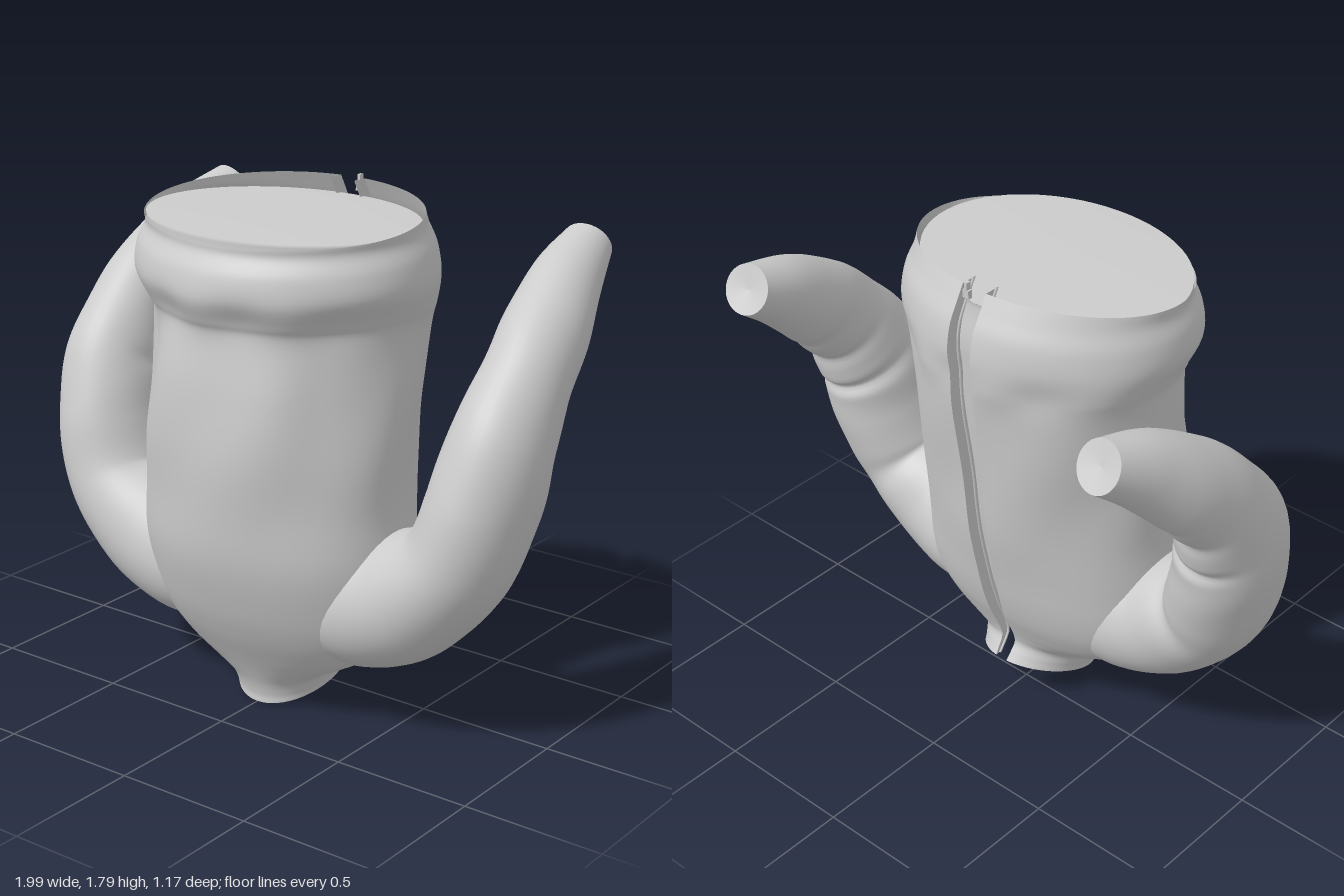
import * as THREE from 'three';

const material = new THREE.MeshStandardMaterial({ color: 0xcccccc, side: THREE.DoubleSide });
const V = (x, y, z) => new THREE.Vector3(x, y, z);
const bump = (d, w) => Math.exp(-(d * d) / (w * w));
const lerp = THREE.MathUtils.lerp;

// Smooth skin through a grid of points: point(u, v), u along, v around
function loft(name, rows, cols, closed, point) {
  const pos = [], index = [], n = closed ? cols : cols + 1;
  for (let i = 0; i <= rows; i++)
    for (let j = 0; j < n; j++) pos.push(...point(i / rows, j / cols).toArray());
  for (let i = 0; i < rows; i++)
    for (let j = 0; j < cols; j++) {
      const k = (j + 1) % n, a = i * n + j, b = i * n + k;
      index.push(a, a + n, b, b, a + n, b + n);
    }
  const geo = new THREE.BufferGeometry();
  geo.setAttribute('position', new THREE.Float32BufferAttribute(pos, 3));
  geo.setIndex(index);
  geo.computeVertexNormals();
  const mesh = new THREE.Mesh(geo, material);
  mesh.name = name;
  return mesh;
}

// Body sections, collar to hem: y at front, y at back, half width, z at front, z at back
const sections = [
  [0.00, 0.17, 0.19, 0.30, -0.14], [0.03, 0.20, 0.20, 0.30, -0.12],
  [0.08, 0.235, 0.23, 0.315, -0.10], [0.14, 0.27, 0.34, 0.345, -0.105],
  [0.20, 0.32, 0.43, 0.38, -0.125], [0.30, 0.40, 0.49, 0.44, -0.16],
  [0.42, 0.50, 0.51, 0.495, -0.19], [0.60, 0.62, 0.51, 0.55, -0.215],
  [0.80, 0.80, 0.49, 0.57, -0.25], [1.00, 1.00, 0.49, 0.58, -0.275],
  [1.20, 1.20, 0.495, 0.565, -0.30], [1.38, 1.40, 0.50, 0.535, -0.32],
  [1.44, 1.47, 0.515, 0.55, -0.325], [1.52, 1.56, 0.54, 0.585, -0.33],
  [1.60, 1.65, 0.53, 0.575, -0.315], [1.66, 1.72, 0.505, 0.54, -0.28],
  [1.69, 1.775, 0.505, 0.535, -0.25],
];
const curveOf = pts => new THREE.CatmullRomCurve3(pts, false, 'catmullrom', 0.5);
const bodyA = curveOf(sections.map(s => V(s[0], s[1], s[2])));
const bodyB = curveOf(sections.map(s => V(s[3], s[4], 0)));

// Point on the body at height t and angle a (0 = middle of the back)
function bodyPoint(t, a, inset = 0, backInset = inset) {
  const p = bodyA.getPoint(t), q = bodyB.getPoint(t);
  const zF = q.x - inset, zB = q.y + backInset, w = p.z - inset;
  const k = (1 - Math.cos(a)) / 2;
  const x = w * Math.sin(a), y = lerp(p.y, p.x, k), z = lerp(zB, zF, k);
  // folds: hollows beside the front panel, puckers under the hem band
  let dent = 0;
  if (!inset) {
    const front = Math.max(0, -Math.cos(a));
    dent = 0.035 * bump(Math.abs(x) - 0.38, 0.1) * bump(y - 1.25, 0.22) * front
      + 0.008 * bump(y - 1.46, 0.07) * Math.sin(a * 7 + 1 + 2 * Math.sin(a * 2))
      + 0.006 * bump(y - 1.1, 0.4) * Math.sin(a * 6 + y * 7);
  }
  return V(x - dent * Math.sin(a), y, z + dent * Math.cos(a));
}
const gapAngle = t => Math.asin(lerp(0.025, 0.05, Math.min(1, t * 1.5)) / bodyA.getPoint(t).z);

// Sleeve sections, shoulder to cuff: x, y, z, sideways radius, front-to-back radius
const sleeve = [
  [0.24, 0.40, 0.15, 0.19, 0.22], [0.38, 0.44, 0.165, 0.23, 0.235],
  [0.55, 0.505, 0.17, 0.222, 0.225], [0.72, 0.645, 0.155, 0.185, 0.222],
  [0.795, 0.85, 0.12, 0.18, 0.225], [0.825, 1.05, 0.065, 0.17, 0.21],
  [0.835, 1.23, -0.045, 0.145, 0.175], [0.82, 1.37, -0.19, 0.14, 0.16],
  [0.79, 1.50, -0.36, 0.118, 0.13], [0.765, 1.597, -0.54, 0.087, 0.087],
];
const sleevePath = curveOf(sleeve.map(s => V(s[0], s[1], s[2])));
const sleeveSize = curveOf(sleeve.map(s => V(s[3], s[4], 0)));

function sleevePoint(t, v, scale = 1, shift = 0) {
  const c = sleevePath.getPoint(t), r = sleeveSize.getPoint(t), T = sleevePath.getTangent(t);
  const B = V(0, 0, 1).addScaledVector(T, -T.z).normalize();
  const A = B.clone().cross(T);
  const th = -v * Math.PI * 2;
  // creases gather on the inner back of the elbow and in the armpit
  const inner = Math.max(0, Math.cos(th + 1.0));
  const crease = 1 - inner * (0.13 * bump(t - 0.56, 0.018) + 0.09 * bump(t - 0.66, 0.02)
    + 0.06 * bump(t - 0.76, 0.02) + 0.08 * bump(t - 0.32, 0.03))
    + 0.012 * Math.sin(t * 40 + th * 2) * bump(t - 0.6, 0.25);
  return c.addScaledVector(A, Math.cos(th) * r.x * crease * scale)
    .addScaledVector(B, Math.sin(th) * r.y * crease * scale).addScaledVector(T, shift);
}

export function createModel() {
  const model = new THREE.Group();
  model.name = 'jacket';

  // Outer shell, split down the back by the zip opening
  model.add(loft('bodyShell', 96, 96, false, (u, v) => {
    const g = gapAngle(u);
    return bodyPoint(u, lerp(g, Math.PI * 2 - g, v));
  }));

  // Zip edges, folded inward along both sides of the opening
  for (const side of [1, -1]) {
    const edge = (u, v) => {
      const p = bodyPoint(u, side * gapAngle(u));
      p.z += v * lerp(0.025, 0.06, Math.min(1, u * 3));
      return p;
    };
    model.add(loft(side > 0 ? 'leftZipEdge' : 'rightZipEdge', 60, 2, false, edge));
    const path = new THREE.CatmullRomCurve3(Array.from({ length: 24 }, (_, i) => edge(i / 23, 0.8)));
    const teeth = new THREE.Mesh(new THREE.TubeGeometry(path, 60, 0.006, 6), material);
    teeth.name = side > 0 ? 'leftZipTeeth' : 'rightZipTeeth';
    model.add(teeth);
  }

  // Zip pull at the hem
  const pull = new THREE.Group();
  pull.name = 'zipPull';
  for (const [w, h, y] of [[0.025, 0.03, 0], [0.012, 0.035, 0.025]]) {
    const part = new THREE.Mesh(new THREE.BoxGeometry(w, h, 0.018), material);
    part.position.y = y;
    pull.add(part);
  }
  pull.position.set(0.03, 1.745, -0.25);
  model.add(pull);

  // Lining, closed at the hem by a level lid with a softly shaded rim
  const wallRows = 40;
  model.add(loft('lining', wallRows + 1, 64, true, (u, v) => {
    if (u === 1) return V(0, 1.715, 0.145);
    const a = v * Math.PI * 2, h = u * (wallRows + 1) / wallRows;
    const rim = V(0.495 * Math.sin(a), 1.715, 0.145 - 0.388 * Math.cos(a));
    return bodyPoint(lerp(0.2, 0.93, h), a, 0.03, 0.07)
      .lerp(rim, THREE.MathUtils.smoothstep(h, 0.9, 1));
  }));

  // Sleeves with closed cuffs, mirrored left and right
  for (const side of [1, -1]) {
    const arm = new THREE.Group();
    arm.name = side > 0 ? 'leftSleeve' : 'rightSleeve';
    arm.add(loft('sleeve', 110, 40, true, (u, v) => sleevePoint(u, v)));
    arm.add(loft('cuffEnd', 2, 40, true, (u, v) => sleevePoint(1, v, 1 - u, -0.012 * u)));
    arm.scale.x = side;
    model.add(arm);
  }
  return model;
}
